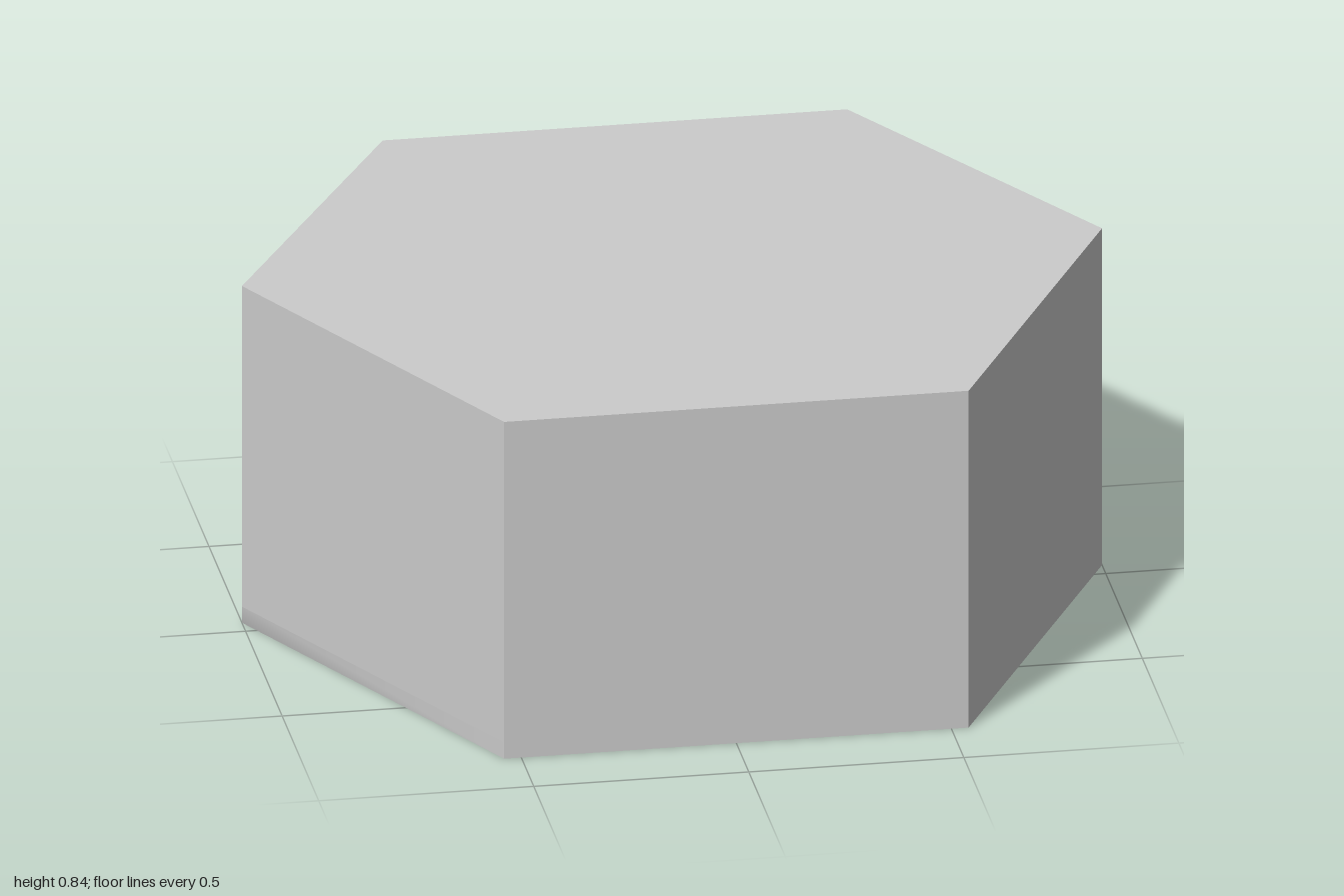
import * as THREE from 'three';
import { toCreasedNormals } from 'three/addons/utils/BufferGeometryUtils.js';

const HEIGHT = 0.84, FLOOR = 0.04, CEILING = 0.79;

// Plan outline (x, z), from the back left corner round the front to the back right corner
const OUTER = [[0.54, -0.83], [1, -0.05], [0.54, 0.83], [-0.54, 0.83], [-1, -0.05], [-0.54, -0.83]];
const INNER = [[0.45, -0.83], [0.89, -0.07], [0.46, 0.74], [-0.46, 0.74], [-0.89, -0.07], [-0.45, -0.83]];
const CORNER = 0.22; // distance from each inner corner to where its rounding starts

// Rounds the corners between the two open ends of a path
function roundCorners(path) {
  const p = path.map(([x, z]) => new THREE.Vector2(x, z));
  const points = [p[0]];
  for (let i = 1; i < p.length - 1; i++) {
    const towards = (q) => q.clone().sub(p[i]).setLength(CORNER).add(p[i]);
    points.push(...new THREE.QuadraticBezierCurve(towards(p[i - 1]), p[i], towards(p[i + 1])).getPoints(3));
  }
  points.push(p[p.length - 1]);
  return points;
}

// Upright prism over a plan outline; edges sharper than the crease angle stay hard
function prism(name, points, bottom, top, crease) {
  const geometry = new THREE.ExtrudeGeometry(new THREE.Shape(points), { depth: top - bottom, bevelEnabled: false });
  geometry.rotateX(Math.PI / 2).translate(0, top, 0);
  const mesh = new THREE.Mesh(toCreasedNormals(geometry, crease), new THREE.MeshStandardMaterial({ color: 0xcccccc }));
  mesh.name = name;
  return mesh;
}

export function createModel() {
  const group = new THREE.Group();
  group.name = 'hexagonalShell';
  const outer = OUTER.map(([x, z]) => new THREE.Vector2(x, z));

  // Floor and roof slabs, with the wall between them open at the back
  group.add(
    prism('floor', outer, 0, FLOOR, Math.PI / 3),
    prism('wall', [...outer, ...roundCorners(INNER).reverse()], FLOOR, CEILING, 0.6),
    prism('roof', outer, CEILING, HEIGHT, 0.6),
  );
  return group;
}
